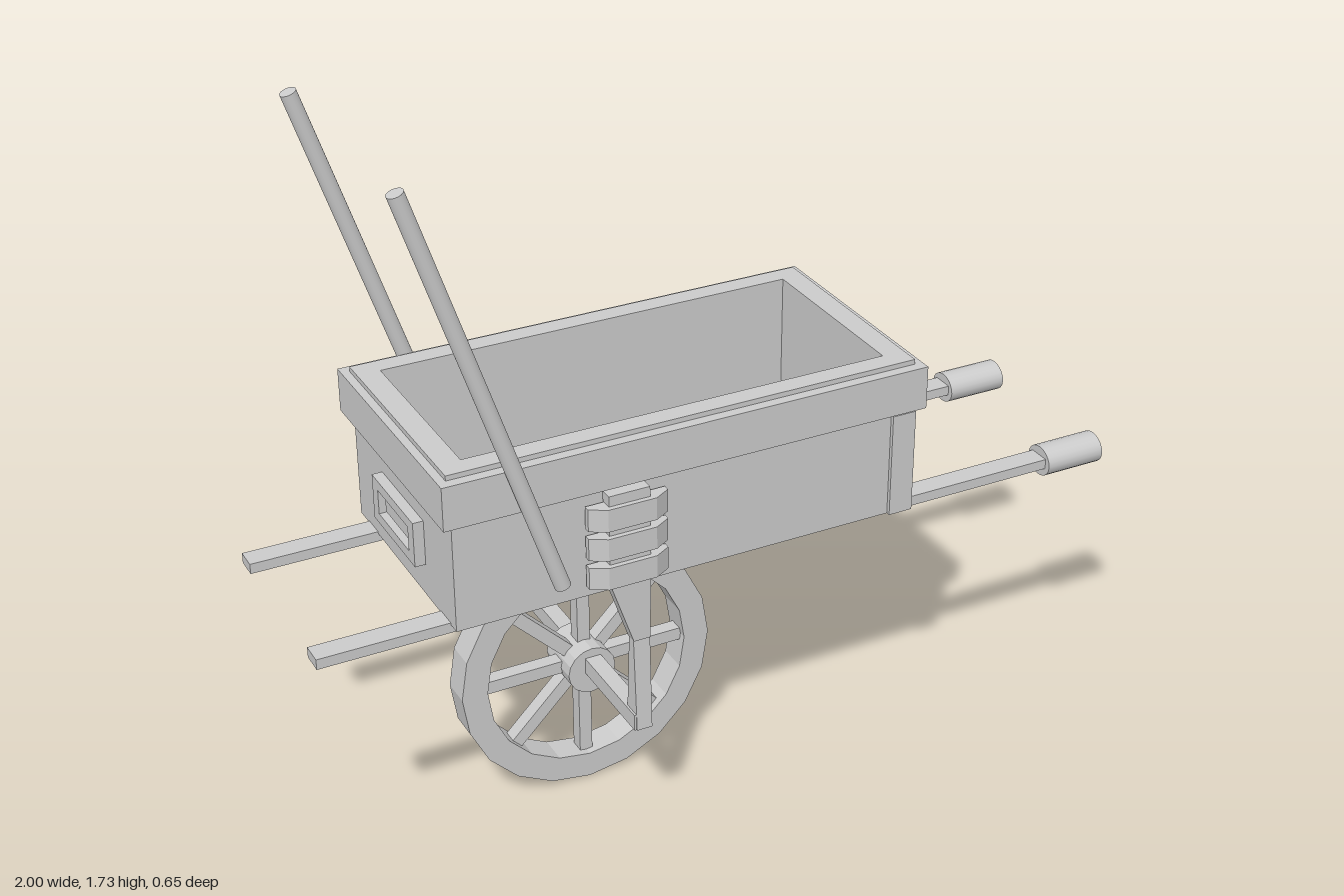
import * as THREE from 'three';

const material = new THREE.MeshStandardMaterial({ color: 0xcccccc, side: THREE.DoubleSide });
const flat = new THREE.MeshStandardMaterial({ color: 0xcccccc, side: THREE.DoubleSide, flatShading: true });

function add(parent, name, geometry, mat = flat) {
  const mesh = new THREE.Mesh(geometry, mat);
  mesh.name = name;
  parent.add(mesh);
  return mesh;
}

// Box given by its limits on each axis
function box(x0, x1, y0, y1, z0, z1) {
  return new THREE.BoxGeometry(x1 - x0, y1 - y0, z1 - z0)
    .translate((x0 + x1) / 2, (y0 + y1) / 2, (z0 + z1) / 2);
}

function rectangle(PathType, hx, hy) {
  return new PathType([[-hx, -hy], [hx, -hy], [hx, hy], [-hx, hy]].map(p => new THREE.Vector2(...p)));
}

// Rectangular frame lying in the xy plane, extruded along +z
function frame(hx, hy, ix, iy, depth) {
  const shape = rectangle(THREE.Shape, hx, hy);
  shape.holes.push(rectangle(THREE.Path, ix, iy));
  return new THREE.ExtrudeGeometry(shape, { depth, bevelEnabled: false });
}

// Solid through rectangular sections [y, x0, x1, z0, z1], listed bottom to top
function loft(sections) {
  const positions = [], index = [];
  for (const [y, x0, x1, z0, z1] of sections)
    positions.push(x0, y, z1, x1, y, z1, x1, y, z0, x0, y, z0);
  for (let s = 0; s < sections.length - 1; s++)
    for (let i = 0; i < 4; i++) {
      const a = s * 4 + i, b = s * 4 + (i + 1) % 4;
      index.push(a, b, b + 4, a, b + 4, a + 4);
    }
  const t = (sections.length - 1) * 4;
  index.push(0, 2, 1, 0, 3, 2, t, t + 1, t + 2, t, t + 2, t + 3);
  const g = new THREE.BufferGeometry();
  g.setAttribute('position', new THREE.Float32BufferAttribute(positions, 3));
  g.setIndex(index);
  g.computeVertexNormals();
  return g;
}

function buildTray() {
  const tray = new THREE.Group();
  tray.name = 'tray';
  tray.position.set(-0.13, 0, -0.005);
  const ring = (name, hx, hz, y0, y1) =>
    add(tray, name, frame(hx, hz, 0.515, 0.228, y1 - y0).rotateX(-Math.PI / 2).translate(0, y0, 0));
  ring('trayWalls', 0.565, 0.282, 0.68, 0.95);
  ring('trayRim', 0.59, 0.302, 0.945, 1.05);
  ring('trayLip', 0.57, 0.277, 1.05, 1.062);
  add(tray, 'trayFloor', box(-0.56, 0.56, 0.68, 0.705, -0.28, 0.28));
  // Corner posts at the handle end
  for (const s of [-1, 1])
    add(tray, 'cornerPost', box(0.51, 0.57, 0.68, 0.937, s * 0.26 - 0.032, s * 0.26 + 0.032));
  // Framed plate on the nose end
  add(tray, 'endPlateFrame', frame(0.12, 0.055, 0.088, 0.03, 0.025).rotateY(-Math.PI / 2).translate(-0.565, 0.815, 0));
  add(tray, 'endPlate', box(-0.578, -0.56, 0.795, 0.835, -0.075, 0.075));
  return tray;
}

function buildWheel() {
  const wheel = new THREE.Group();
  wheel.name = 'wheel';
  wheel.position.set(-0.278, 0.32, 0);
  const profile = [[0.255, -0.037], [0.319, -0.037], [0.319, 0.037], [0.255, 0.037], [0.255, -0.037]]
    .map(p => new THREE.Vector2(...p));
  add(wheel, 'wheelRim', new THREE.LatheGeometry(profile, 20).rotateX(Math.PI / 2));
  add(wheel, 'hub', new THREE.CylinderGeometry(0.06, 0.06, 0.122, 16).rotateX(Math.PI / 2));
  for (let i = 0; i < 8; i++)
    add(wheel, 'spoke', box(0.03, 0.262, -0.016, 0.016, -0.018, 0.018)).rotation.z = i * Math.PI / 4;
  return wheel;
}

function buildSide(s) {
  const side = new THREE.Group();
  side.name = s > 0 ? 'frontSide' : 'backSide';
  const railZ = s * 0.213 + 0.006;

  // Handle rail and grip
  add(side, 'handleRail', box(-1, 0.86, 0.66, 0.685, railZ - 0.027, railZ + 0.027));
  const grip = add(side, 'grip', new THREE.CylinderGeometry(1, 1, 0.155, 20).rotateZ(Math.PI / 2), material);
  grip.scale.set(1, 0.037, 0.043);
  grip.position.set(0.9225, 0.67, railZ);

  // Leaning pole
  const foot = new THREE.Vector2(-0.455, 0.74), tip = new THREE.Vector2(-0.783, 1.72);
  const lean = tip.clone().sub(foot);
  const pole = add(side, 'pole', new THREE.CylinderGeometry(0.019, 0.019, lean.length(), 16), material);
  pole.position.set((foot.x + tip.x) / 2, (foot.y + tip.y) / 2, s * 0.303 - 0.002);
  pole.rotation.z = lean.angle() - Math.PI / 2;

  // Fork strap: wide on the tray, narrow and flared at the axle
  const section = (y, x0, x1, near, far) =>
    [y, x0, x1, Math.min(s * near, s * far), Math.max(s * near, s * far)];
  add(side, 'forkStrap', loft([
    section(0.316, -0.29, -0.252, 0.27, 0.321),
    section(0.55, -0.29, -0.249, 0.285, 0.307),
  ]));
  add(side, 'forkStrapUpper', loft([
    section(0.55, -0.29, -0.249, 0.28, 0.31),
    section(0.715, -0.346, -0.247, 0.28, 0.31),
    section(0.936, -0.346, -0.247, 0.28, 0.31),
  ]));

  // Three chamfered clamp plates
  const outline = [[-0.096, 0], [0.096, 0], [0.096, 0.015], [0.058, 0.037], [-0.058, 0.037], [-0.096, 0.015]];
  for (const y of [0.71, 0.783, 0.856]) {
    const shape = new THREE.Shape(outline.map(([x, z]) => new THREE.Vector2(x, -s * z)));
    const clamp = add(side, 'clampPlate', new THREE.ExtrudeGeometry(shape, { depth: 0.055, bevelEnabled: false })
      .rotateX(-Math.PI / 2));
    clamp.position.set(-0.295, y, s * 0.285);
  }
  return side;
}

export function createModel() {
  const model = new THREE.Group();
  model.name = 'wheelbarrow';
  model.add(buildTray(), buildWheel(), buildSide(1), buildSide(-1));
  add(model, 'axle', box(-0.295, -0.255, 0.316, 0.357, -0.318, 0.318));
  return model;
}
